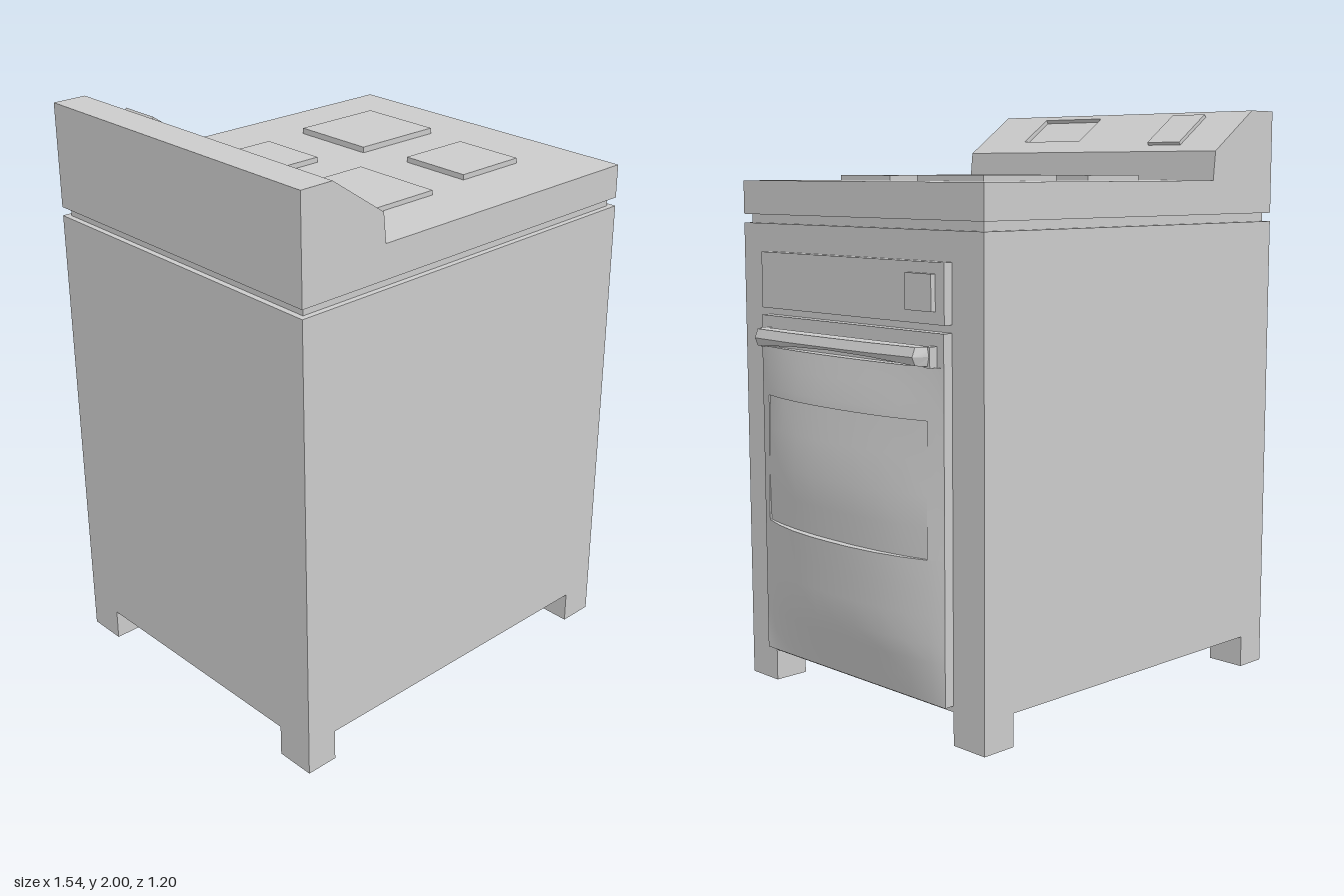
import * as THREE from 'three';
import { toCreasedNormals } from 'three/addons/utils/BufferGeometryUtils.js';

const grey = new THREE.MeshStandardMaterial({ color: 0xcccccc });
const doubleGrey = new THREE.MeshStandardMaterial({ color: 0xcccccc, side: THREE.DoubleSide });

function add(parent, name, geometry, material = grey) {
  const mesh = new THREE.Mesh(geometry, material);
  mesh.name = name;
  parent.add(mesh);
  return mesh;
}

// Box given by its lower and upper corner
function block(parent, name, x0, x1, y0, y1, z0, z1) {
  const geometry = new THREE.BoxGeometry(x1 - x0, y1 - y0, z1 - z0);
  geometry.translate((x0 + x1) / 2, (y0 + y1) / 2, (z0 + z1) / 2);
  return add(parent, name, geometry);
}

// Surface through equally long rows of points
function loft(rows, crease) {
  const n = rows[0].length, index = [];
  for (let i = 0; i < rows.length - 1; i++) {
    for (let j = 0; j < n - 1; j++) {
      const a = i * n + j, b = a + n;
      index.push(a, b, b + 1, a, b + 1, a + 1);
    }
  }
  const geometry = new THREE.BufferGeometry();
  geometry.setAttribute('position', new THREE.Float32BufferAttribute(rows.flat(2), 3));
  geometry.setIndex(index);
  return toCreasedNormals(geometry, crease);
}

const shapeOf = (points) => new THREE.Shape(points.map(([x, y]) => new THREE.Vector2(x, y)));

// Linear interpolation in a list of [key, value] pairs
function sample(list, t) {
  for (let i = 1; i < list.length; i++) {
    const [k0, v0] = list[i - 1], [k1, v1] = list[i];
    if (t <= k1) return v0 + (v1 - v0) * (t - k0) / (k1 - k0);
  }
  return list[list.length - 1][1];
}

function addConsole(group) {
  // Cooktop and backguard share one side profile
  const top = new THREE.ExtrudeGeometry(shapeOf([
    [-0.77, 1.645], [0.645, 1.645], [0.645, 1.76], [-0.44, 1.76], [-0.45, 1.86],
    [-0.4586, 1.8477], [-0.6586, 1.9877], [-0.65, 2], [-0.77, 2],
  ]), { depth: 1.2, bevelEnabled: false });
  top.translate(0, 0, -0.6);
  add(group, 'cooktopAndBackguard', top);

  // Sloped console face: local x runs along z, local y down the slope
  const slope = new THREE.Group();
  slope.name = 'slopedConsole';
  const down = new THREE.Vector3(0.2, -0.14, 0), length = down.length();
  down.normalize();
  const along = new THREE.Vector3(0, 0, 1);
  const normal = along.clone().cross(down);
  slope.quaternion.setFromRotationMatrix(new THREE.Matrix4().makeBasis(along, down, normal));
  slope.position.set(-0.65, 2, 0);
  const plate = shapeOf([[-0.6, 0], [0.6, 0], [0.6, length], [-0.6, length]]);
  plate.holes.push(shapeOf([[0.085, 0.024], [0.085, 0.171], [0.37, 0.171], [0.37, 0.024]]));
  const face = new THREE.ExtrudeGeometry(plate, { depth: 0.015, bevelEnabled: false });
  face.translate(0, 0, -0.015);
  add(slope, 'consoleFace', face);
  block(slope, 'consoleButton', -0.42, -0.275, 0.034, 0.205, -0.01, 0.012);
  group.add(slope);
}

function addDoor(group) {
  block(group, 'doorPlate', 0.64, 0.68, 0.13, 1.305, -0.46, 0.46);

  // Bulge of the door and of its window over the height
  const frame = [[0.13, 0], [0.33, 0.064], [0.6, 0.086], [1.034, 0.062], [1.06, 0.06], [1.2, 0.035]];
  const glass = [[0.6, 0.06], [0.8, 0.075], [1.034, 0.045]];
  const swell = (z) => 1 - Math.pow(Math.abs(z) / 0.46, 2.4);
  const half = [0, 0.1, 0.21, 0.31, 0.4045, 0.405, 0.435, 0.46];
  const zs = [...half.slice(1).reverse().map((z) => -z), ...half];
  const ys = [0.13, 0.2, 0.27, 0.33, 0.42, 0.51, 0.5995, 0.6, 0.7, 0.8, 0.92, 1.0335, 1.034, 1.06, 1.13, 1.2];
  const rows = ys.map((y) => zs.map((z) => {
    const inWindow = Math.abs(z) < 0.4047 && y > 0.5998 && y < 1.0338;
    const depth = inWindow ? sample(glass, y) : sample(frame, y);
    return [0.681 + depth * swell(z), y, z];
  }));
  rows.push(zs.map((z) => [0.68, 1.2, z]));
  add(group, 'doorPanel', loft(rows, 0.5), doubleGrey);

  // Bowed handle bar with closed ends
  const stations = [-0.43, -0.4, -0.2, 0, 0.2, 0.4, 0.43];
  const reach = [0.703, 0.755, 0.768, 0.77, 0.768, 0.755, 0.703];
  const bar = stations.map((z, i) => {
    const x = reach[i], low = 1.225 - 0.02 * Math.pow(Math.abs(z) / 0.43, 2);
    return [[0.695, 1.265], [x - 0.012, 1.265], [x, 1.235], [x - 0.012, low],
      [0.695, low], [0.695, 1.265]].map(([px, py]) => [px, py, z]);
  });
  const cap = (row) => row.map(() => [0.697, 1.24, row[0][2]]);
  add(group, 'handleBar', loft([cap(bar[0]), ...bar, cap(bar[6])], 0.4), doubleGrey);
  for (const s of [-1, 1]) {
    const z = s * 0.418;
    block(group, 'handlePost', 0.675, 0.71, 1.2, 1.265, z - 0.012, z + 0.012);
  }
}

export function createModel() {
  const group = new THREE.Group();
  group.name = 'cooker';

  // Cabinet on four feet, with a shadow gap below the cooktop
  block(group, 'cabinet', -0.77, 0.645, 0.11, 1.615, -0.6, 0.6);
  block(group, 'shadowGap', -0.75, 0.625, 1.61, 1.65, -0.58, 0.58);
  for (const s of [-1, 1]) {
    const z0 = s > 0 ? 0.46 : -0.6;
    block(group, 'backFoot', -0.77, -0.655, 0, 0.11, z0, z0 + 0.14);
    block(group, 'frontFoot', 0.52, 0.645, 0, 0.11, z0, z0 + 0.14);
  }

  addConsole(group);

  // Hot plates: x range, z range, top
  for (const [x0, x1, z0, z1, y] of [
    [-0.33, -0.07, -0.36, -0.11, 1.778],
    [0.115, 0.445, -0.39, -0.08, 1.78],
    [-0.37, -0.03, 0.06, 0.39, 1.776],
    [0.15, 0.41, 0.095, 0.355, 1.778],
  ]) block(group, 'hotPlate', x0, x1, 1.755, y, z0, z1);

  // Control strip above the door
  block(group, 'controlStrip', 0.64, 0.677, 1.33, 1.52, -0.46, 0.46);
  block(group, 'controlButton', 0.67, 0.695, 1.37, 1.485, -0.42, -0.3);

  addDoor(group);
  return group;
}
